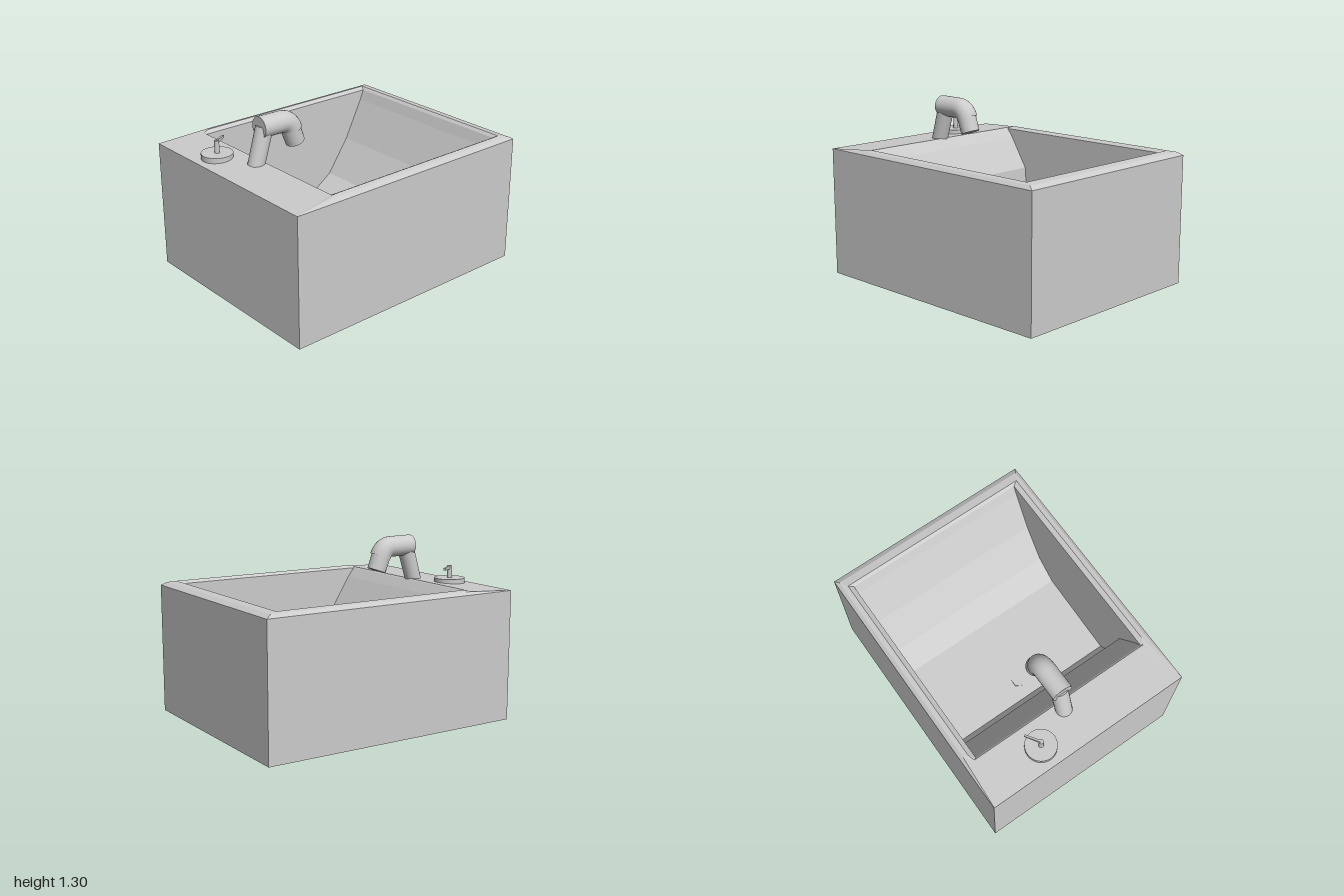
import * as THREE from 'three';

const flat = new THREE.MeshStandardMaterial({ color: 0xcccccc, flatShading: true, side: THREE.DoubleSide });
const smooth = new THREE.MeshStandardMaterial({ color: 0xcccccc });

function add(group, name, geometry, material) {
  const mesh = new THREE.Mesh(geometry, material);
  mesh.name = name;
  group.add(mesh);
  return mesh;
}

// Flat-shaded surface from four-cornered faces
function quads(faces) {
  const pos = [];
  for (const [a, b, c, d] of faces) pos.push(...a, ...b, ...c, ...a, ...c, ...d);
  const g = new THREE.BufferGeometry();
  g.setAttribute('position', new THREE.Float32BufferAttribute(pos, 3));
  g.computeVertexNormals();
  return g;
}

// Six-cornered loop; the left end may have its own height and half depth
function ring(xl, xm, xr, yl, y, zl, z) {
  return [[xl, yl, zl], [xm, y, z], [xr, y, z], [xr, y, -z], [xm, y, -z], [xl, yl, -zl]];
}

// Capped cylinder between two points
function rod(group, name, from, to, r0, r1, sides = 24) {
  const a = new THREE.Vector3(...from), b = new THREE.Vector3(...to);
  const dir = b.clone().sub(a);
  const mesh = add(group, name, new THREE.CylinderGeometry(r1, r0, dir.length(), sides), smooth);
  mesh.position.copy(a).add(b).multiplyScalar(0.5);
  mesh.quaternion.setFromUnitVectors(new THREE.Vector3(0, 1, 0), dir.normalize());
  return mesh;
}

export function createModel() {
  const model = new THREE.Group();
  model.name = 'bathtub';

  // Outer box, sloping deck and bevelled rim
  const rings = [
    ring(0, 0, 0, 0, 0, 0, 0),
    ring(-1, -0.6, 1, 0, 0, 0.795, 0.795),
    ring(-1, -0.6, 1, 0.955, 0.955, 0.795, 0.795),
    ring(-0.995, -0.6, 0.96, 0.957, 0.977, 0.792, 0.77),
    ring(-0.66, -0.61, 0.9, 0.974, 0.985, 0.72, 0.735),
    ring(-0.65, -0.6, 0.88, 0.966, 0.966, 0.7, 0.7),
  ];
  const shell = [];
  for (let k = 0; k < rings.length - 1; k++) {
    for (let i = 0; i < 6; i++) {
      const j = (i + 1) % 6;
      shell.push([rings[k][i], rings[k][j], rings[k + 1][j], rings[k + 1][i]]);
    }
  }
  add(model, 'tubShell', quads(shell), flat);

  // Basin: steep tap end, gently sloping floor, reclined far end
  const profile = [
    [-0.65, 0.966], [-0.6, 0.9], [-0.455, 0.67], [-0.435, 0.43], [-0.36, 0.22], [-0.3, 0.155],
    [0.35, 0.21], [0.52, 0.33], [0.7, 0.59], [0.85, 0.89], [0.88, 0.966],
  ];
  const basin = [];
  for (let i = 0; i < profile.length - 1; i++) {
    const [x0, y0] = profile[i], [x1, y1] = profile[i + 1];
    basin.push([[x0, y0, 0.7], [x1, y1, 0.7], [x1, y1, -0.7], [x0, y0, -0.7]]);
  }
  add(model, 'basin', quads(basin), flat);
  const wall = new THREE.ShapeGeometry(new THREE.Shape(profile.map(p => new THREE.Vector2(...p))));
  for (const s of [-1, 1]) add(model, s > 0 ? 'basinFrontWall' : 'basinBackWall', wall, flat).position.z = 0.7 * s;

  // Hexagonal drain
  const drain = add(model, 'drain', new THREE.CylinderGeometry(0.052, 0.052, 0.012, 6), flat);
  drain.position.set(-0.16, 0.168, 0.01);
  drain.rotation.set(0, Math.PI / 6, 0.08);

  // Tap: leaning post, bent spout and nozzle
  const tap = new THREE.Group();
  tap.name = 'tap';
  tap.position.z = -0.012;
  model.add(tap);
  rod(tap, 'tapPost', [-0.716, 0.955, 0], [-0.636, 1.22, 0], 0.06, 0.062);
  const bend = new THREE.CurvePath();
  const V = (x, y) => new THREE.Vector3(x, y, 0);
  bend.add(new THREE.LineCurve3(V(-0.68, 1.225), V(-0.5, 1.223)));
  bend.add(new THREE.QuadraticBezierCurve3(V(-0.5, 1.223), V(-0.433, 1.223), V(-0.407, 1.155)));
  add(tap, 'spout', new THREE.TubeGeometry(bend, 24, 0.077, 24), smooth);
  const endCap = add(tap, 'spoutEnd', new THREE.CircleGeometry(0.077, 24), smooth);
  endCap.position.set(-0.68, 1.225, 0);
  endCap.rotation.y = -Math.PI / 2;
  rod(tap, 'nozzle', [-0.425, 1.19, 0], [-0.374, 1.052, 0], 0.072, 0.069);

  // Control knob with tapered lever
  const control = new THREE.Group();
  control.name = 'control';
  control.position.set(-0.838, 0, -0.295);
  model.add(control);
  rod(control, 'controlPlate', [0, 0.955, 0], [0, 0.999, 0], 0.113, 0.113, 32);
  rod(control, 'controlStem', [0, 0.99, 0], [0, 1.088, 0], 0.019, 0.017, 16);
  const leverShape = new THREE.Shape([[0, 1.062], [0.122, 1.066], [0.122, 1.082], [0, 1.092]].map(p => new THREE.Vector2(...p)));
  const lever = new THREE.ExtrudeGeometry(leverShape, { depth: 0.014, bevelEnabled: false });
  lever.translate(0, 0, -0.007);
  add(control, 'controlLever', lever, flat).rotation.y = 0.58;

  return model;
}
